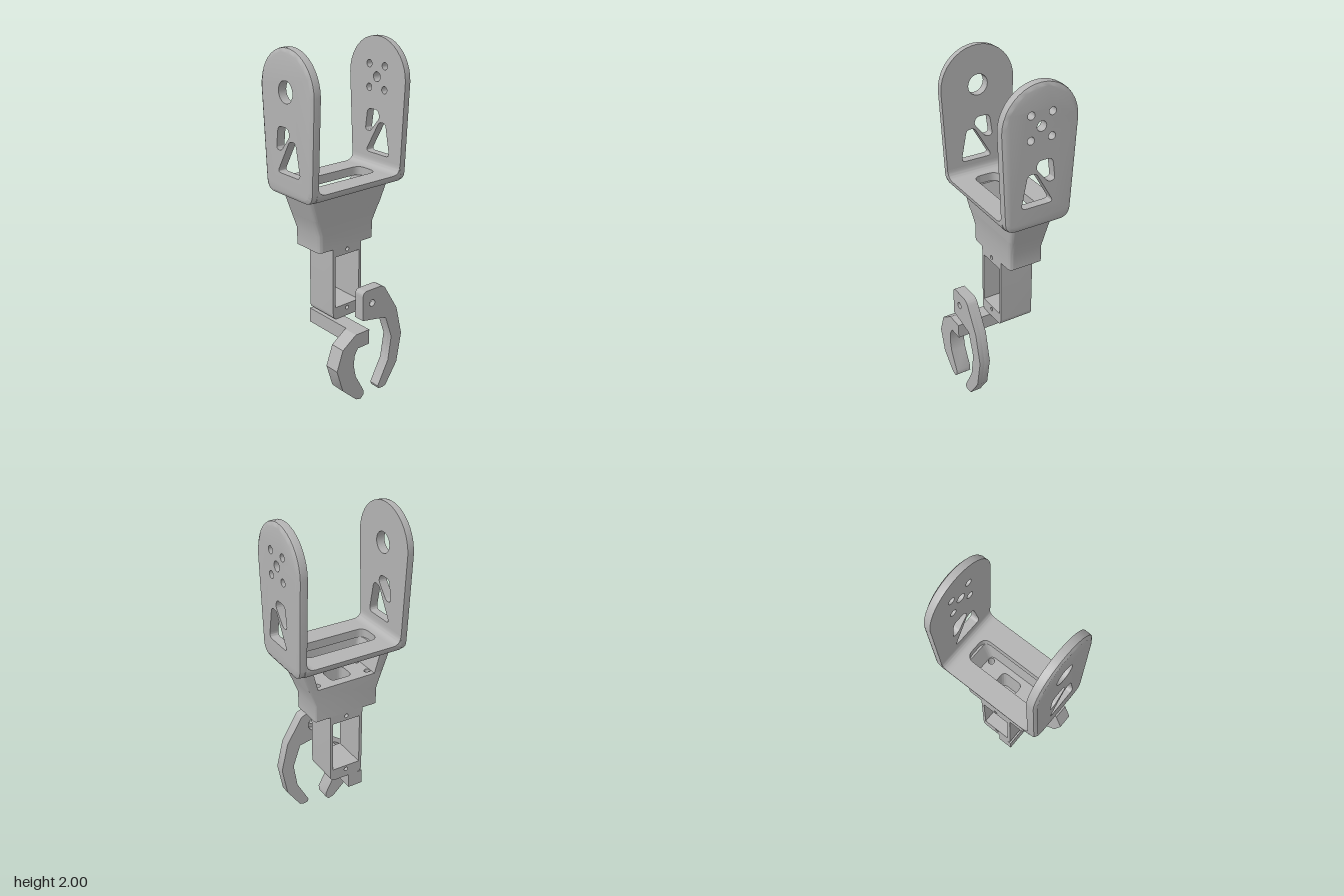
import * as THREE from 'three';
import { toCreasedNormals } from 'three/addons/utils/BufferGeometryUtils.js';

const CX = -0.04; // centre line of the bracket

// Polygon with rounded corners; r is one radius or one per corner
function roundPoly(pts, r = 0, Type = THREE.Shape) {
  const s = new Type();
  const n = pts.length;
  pts.forEach((p, i) => {
    const c = new THREE.Vector2(...p);
    const a = new THREE.Vector2(...pts[(i + n - 1) % n]).sub(c);
    const b = new THREE.Vector2(...pts[(i + 1) % n]).sub(c);
    const rad = Array.isArray(r) ? r[i] : r;
    const p0 = c.clone().addScaledVector(a.normalize(), rad);
    const p1 = c.clone().addScaledVector(b.normalize(), rad);
    if (i === 0) s.moveTo(p0.x, p0.y); else s.lineTo(p0.x, p0.y);
    if (rad > 0) s.quadraticCurveTo(c.x, c.y, p1.x, p1.y);
  });
  s.closePath();
  return s;
}
const rect = (x0, y0, x1, y1, r, Type) => roundPoly([[x0, y0], [x1, y0], [x1, y1], [x0, y1]], r, Type);
const disc = (x, y, r) => new THREE.Path().absarc(x, y, r, 0, Math.PI * 2, true);

// Straight extrusion; rule(v, onOutline) may reshape each vertex
function prism(shape, holes, depth, steps = 1, rule = null) {
  shape.holes = holes;
  const outline = shape.getPoints(10);
  const geo = new THREE.ExtrudeGeometry(shape, { depth, steps, bevelEnabled: false, curveSegments: 10 });
  if (rule) {
    const pos = geo.attributes.position;
    const v = new THREE.Vector3();
    for (let i = 0; i < pos.count; i++) {
      v.fromBufferAttribute(pos, i);
      rule(v, outline.some(p => Math.hypot(p.x - v.x, p.y - v.y) < 1e-4));
      pos.setXYZ(i, v.x, v.y, v.z);
    }
  }
  return geo;
}
const alongY = (geo, y) => geo.rotateX(-Math.PI / 2).translate(0, y, 0); // drawn in (x, -z)
const alongX = (geo, x) => geo.rotateY(Math.PI / 2).translate(x, 0, 0);  // drawn in (-z, y)
const zy = pts => pts.map(([z, y]) => [-z, y]);
const roundOff = (u, r) => r * (1 - Math.sqrt(Math.max(0, 1 - u * u)));

export function createModel() {
  const model = new THREE.Group();
  const grey = new THREE.MeshStandardMaterial({ color: 0xb3b3b3 });
  grey.name = 'grey';
  const add = (name, geo) => {
    const mesh = new THREE.Mesh(toCreasedNormals(geo, 0.6), grey);
    mesh.name = name;
    model.add(mesh);
  };

  // Side plates of the fork, rounded on the outer rim
  const plate = (name, side, holes) => {
    const s = new THREE.Shape();
    s.moveTo(CX - 0.135, 1.205);
    s.lineTo(CX + 0.135, 1.205);
    s.quadraticCurveTo(CX + 0.195, 1.205, CX + 0.2, 1.265);
    s.lineTo(CX + 0.225, 1.775);
    s.absarc(CX, 1.775, 0.225, 0, Math.PI, false);
    s.lineTo(CX - 0.2, 1.265);
    s.quadraticCurveTo(CX - 0.195, 1.205, CX - 0.135, 1.205);
    const triangle = roundPoly([[-0.125, 1.333], [0.072, 1.333], [0.035, 1.522], [-0.015, 1.522]],
      [0.03, 0.03, 0.022, 0.022], THREE.Path);
    const slot = roundPoly([[-0.13, 1.46], [-0.09, 1.455], [-0.012, 1.548], [-0.028, 1.588], [-0.112, 1.588]],
      [0.02, 0.02, 0.02, 0.02, 0.03], THREE.Path);
    const geo = prism(s, [triangle, slot, ...holes], 0.05, 5, (v, onOutline) => {
      if (!onOutline) return;
      const d = side > 0 ? v.z : 0.05 - v.z;
      const inset = roundOff(Math.max(0, (d - 0.03) / 0.02), 0.02);
      v.x = CX + (v.x - CX) * (1 - inset / 0.22);
      v.y = 1.6 + (v.y - 1.6) * (1 - inset / 0.4);
    });
    add(name, geo.translate(0, 0, side > 0 ? 0.29 : -0.34));
  };
  plate('frontPlate', 1, [disc(CX, 1.775, 0.06)]);
  const bolts = [[-1, -1], [1, -1], [1, 1], [-1, 1]].map(([a, b]) => disc(CX + a * 0.062, 1.775 + b * 0.066, 0.021));
  plate('backPlate', -1, [disc(CX, 1.775, 0.028), ...bolts]);

  // Fork base with pocket opening and rounded lower edges
  add('forkBase', alongY(prism(rect(-0.24, -0.3, 0.16, 0.3, 0),
    [rect(-0.115, -0.228, 0.033, 0.228, 0.05, THREE.Path)], 0.05, 5, (v, onOutline) => {
      if (onOutline) v.x = CX + (v.x - CX) * (1 - roundOff(1 - v.z / 0.05, 0.045) / 0.2);
    }), 1.205));

  // Inner fillets between base and plates
  for (const k of [1, -1]) {
    const s = new THREE.Shape();
    s.moveTo(k * 0.292, 1.253);
    s.lineTo(k * 0.24, 1.2555);
    s.quadraticCurveTo(k * 0.29, 1.2555, k * 0.29, 1.305);
    s.closePath();
    add('fillet', alongX(prism(s, [], 0.4), -0.24));
  }

  // Upper neck: tapered wall, open towards -x
  add('neckWall', alongY(prism(roundPoly([
    [-0.16, -0.237], [0.066, -0.237], [0.066, 0.237], [-0.16, 0.237],
    [-0.16, 0.18], [0.033, 0.18], [0.033, -0.18], [-0.16, -0.18],
  ], [0.015, 0.03, 0.03, 0.015, 0, 0.03, 0.03, 0]), [], 0.135, 1, v => {
    const t = v.z / 0.135;
    v.y *= 1 + 0.2 * t;
    v.x *= v.x > 0 ? 1 + 0.28 * t : 1 + 0.03 * t;
  }), 1.07));

  // Lower neck: block with bolt holes and a central opening
  const neckHoles = [-0.16, 0.16].flatMap(z => [disc(-0.115, z, 0.018), disc(0.005, z, 0.018)]);
  add('neckBlock', alongY(prism(rect(-0.16, -0.2, 0.05, 0.2, [0.015, 0.03, 0.03, 0.015]),
    [rect(-0.11, -0.065, 0, 0.065, 0.03, THREE.Path), ...neckHoles], 0.2, 2, (v, onOutline) => {
      if (!onOutline || v.z < 0.15) return;
      v.y *= 1.185;
      if (v.x > 0) v.x *= 1.32;
    }), 0.87));

  // Motor frame
  add('motorFrame', alongX(prism(rect(-0.105, 0.43, 0.105, 0.872, [0.035, 0.035, 0, 0]),
    [rect(-0.087, 0.505, 0.088, 0.82, 0, THREE.Path), disc(0, 0.848, 0.012), disc(0, 0.48, 0.012)], 0.21), -0.16));

  // Fixed finger and its cross arm
  add('fixedArm', new THREE.BoxGeometry(0.335, 0.09, 0.09).translate(0.0075, 0.385, 0.065));
  add('fixedFinger', alongX(prism(roundPoly(zy([
    [0.02, 0.34], [0.105, 0.34], [0.128, 0.3], [0.135, 0.24], [0.12, 0.165], [0.06, 0.05], [0.06, 0.02],
    [0.08, 0], [0.115, 0.01], [0.215, 0.105], [0.257, 0.245], [0.215, 0.365], [0.12, 0.43], [0.02, 0.43],
  ])), [], 0.093), 0.172));

  // Moving finger, with a wider recess around the pivot on its inner side
  const moving = () => roundPoly(zy([
    [0.069, 0.675], [0.069, 0.5], [-0.105, 0.465], [-0.153, 0.325], [-0.13, 0.175], [-0.053, 0.03],
    [-0.06, 0.012], [-0.09, 0.008], [-0.115, 0.015], [-0.2, 0.14], [-0.233, 0.32], [-0.19, 0.5], [-0.085, 0.675],
  ]), [0.03, 0, 0, 0, 0, 0, 0, 0, 0, 0, 0, 0, 0.03]);
  add('movingFingerOuter', alongX(prism(moving(), [disc(0, 0.59, 0.02)], 0.03), 0.235));
  add('movingFingerInner', alongX(prism(moving(), [disc(0, 0.59, 0.045)], 0.035), 0.2));

  return model;
}
